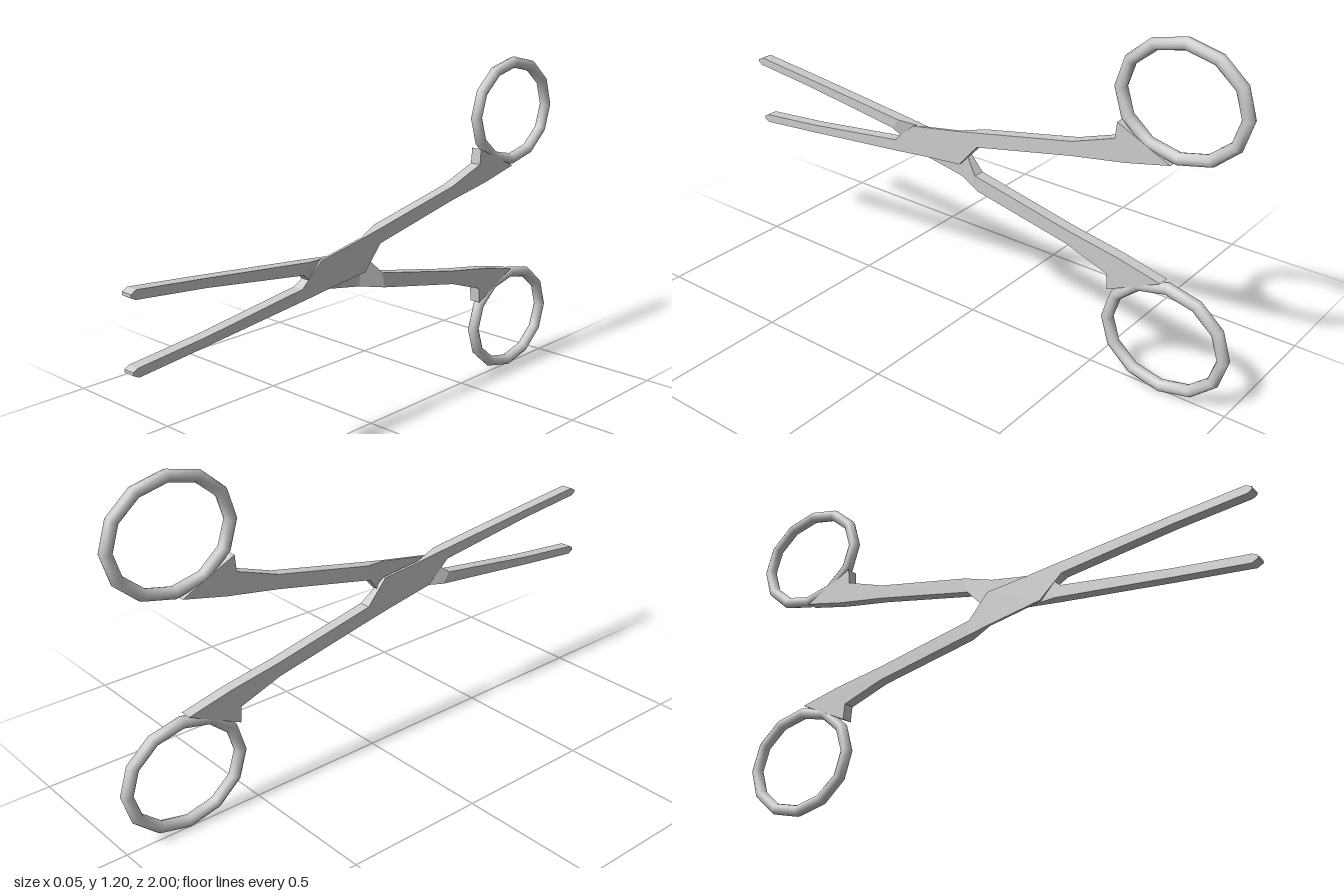
import * as THREE from 'three';

const MID = 0.6;          // height of the crossing axis
const OUT = 0.016;        // outer flat face of a half
const FULL = -0.025;      // inner face at full thickness
const THIN = 0.006;       // inner face in the half-lap joint

// Stations along one half: top z, top y, bottom z, bottom y, inner x
const STATIONS = [
  [-0.565, 0.89, -0.755, 0.80, FULL],
  [-0.56, 0.834, -0.6, 0.764, FULL],
  [-0.405, 0.78, -0.405, 0.73, FULL],
  [-0.04, 0.705, -0.03, 0.651, FULL],
  [0.05, 0.687, 0.045, 0.566, THIN],
  [0.25, 0.651, 0.2, 0.551, THIN],
  [0.335, 0.576, 0.31, 0.538, FULL],
  [0.73, 0.523, 0.73, 0.493, FULL],
  [0.985, 0.497, 0.98, 0.468, FULL],
  [1.0, 0.488, 1.0, 0.478, FULL],
];

// Four-cornered sections lofted from the finger ring to the blade tip
function armGeometry() {
  const pos = [], idx = [];
  for (const [tz, ty, bz, by, x0] of STATIONS) {
    pos.push(x0, ty - MID, tz, OUT, ty - MID, tz, OUT, by - MID, bz, x0, by - MID, bz);
  }
  const last = (STATIONS.length - 1) * 4;
  for (let i = 0; i < last; i += 4) {
    for (let j = 0; j < 4; j++) {
      const a = i + j, b = i + (j + 1) % 4;
      idx.push(a, a + 4, b, b, a + 4, b + 4);
    }
  }
  idx.push(0, 1, 2, 0, 2, 3, last, last + 2, last + 1, last, last + 3, last + 2);
  const geo = new THREE.BufferGeometry();
  geo.setAttribute('position', new THREE.Float32BufferAttribute(pos, 3));
  geo.setIndex(idx);
  const flat = geo.toNonIndexed();
  flat.computeVertexNormals();
  return flat;
}

// Twelve-sided finger ring, stretched to an oval while its tube stays round
function ringGeometry() {
  const geo = new THREE.TorusGeometry(0.195, 0.0205, 10, 12);
  const p = geo.attributes.position;
  for (let i = 0; i < p.count; i++) {
    const x = p.getX(i), y = p.getY(i), r = Math.hypot(x, y);
    p.setXY(i, x + 0.015 * x / r, y - 0.015 * y / r);
  }
  geo.rotateY(Math.PI / 2);
  geo.translate((FULL + OUT) / 2, 1.0 - MID, -0.77);
  return geo;
}

export function createModel() {
  const model = new THREE.Group();
  model.name = 'clamp';
  const smooth = new THREE.MeshStandardMaterial({ color: 0xcccccc });
  const flat = new THREE.MeshStandardMaterial({ color: 0xcccccc, flatShading: true });
  const arm = armGeometry(), ring = ringGeometry();

  // The second half is the first turned half round about the long axis
  ['upperHandle', 'lowerHandle'].forEach((name, i) => {
    const half = new THREE.Group();
    half.name = name + 'Half';
    const armMesh = new THREE.Mesh(arm, flat);
    armMesh.name = name + 'ArmAndBlade';
    const ringMesh = new THREE.Mesh(ring, smooth);
    ringMesh.name = name + 'FingerRing';
    half.add(armMesh, ringMesh);
    half.position.y = MID;
    half.rotation.z = i * Math.PI;
    model.add(half);
  });
  return model;
}
